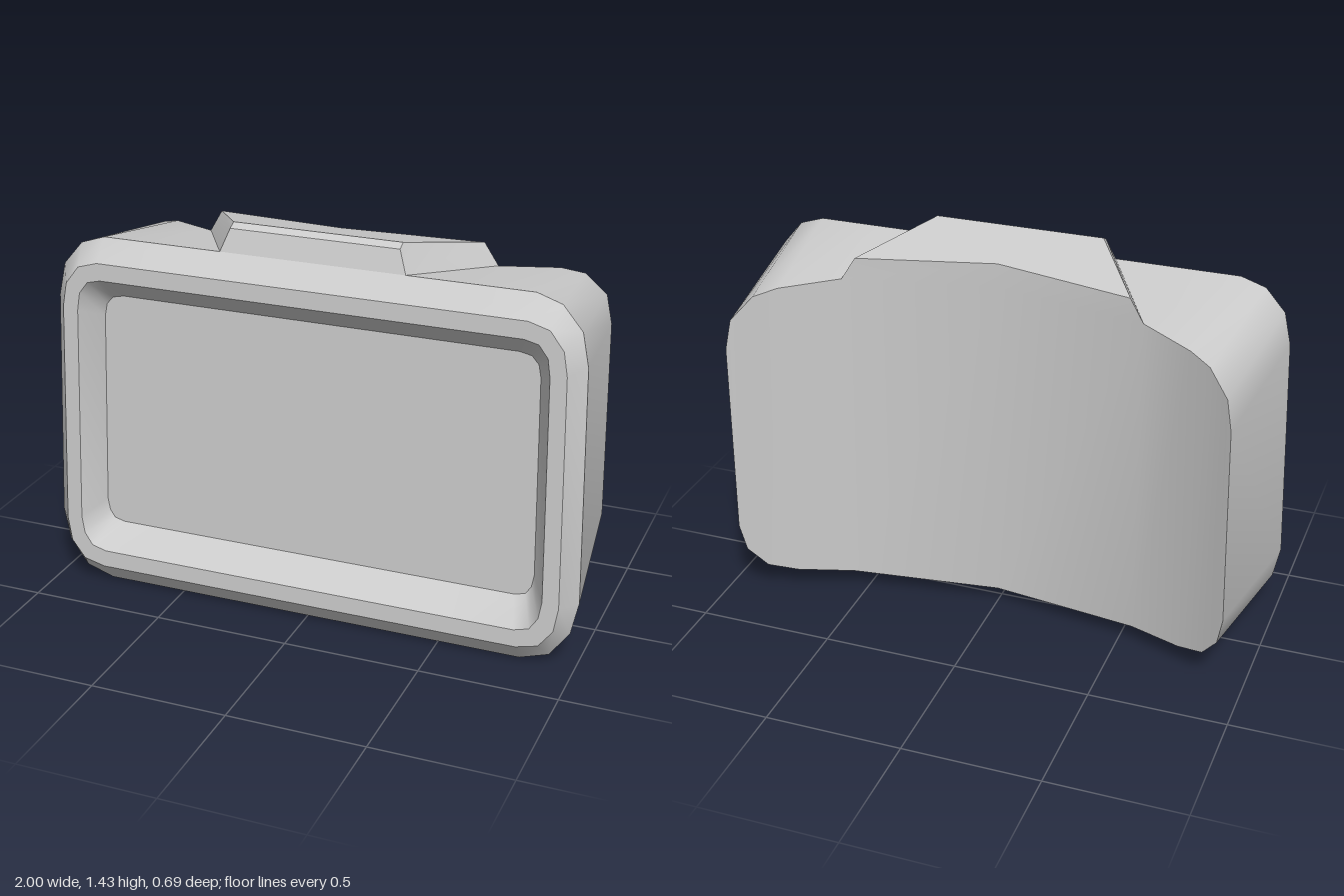
import * as THREE from 'three';
import { toCreasedNormals } from 'three/addons/utils/BufferGeometryUtils.js';

const material = new THREE.MeshStandardMaterial({ color: 0xcccccc });
const CREASE = 0.66;

// Collects convex polygons, fanned into triangles.
function polygonMesh(name, polygons) {
  const positions = [];
  for (const p of polygons) {
    for (let i = 1; i < p.length - 1; i++) positions.push(...p[0], ...p[i], ...p[i + 1]);
  }
  const geometry = new THREE.BufferGeometry();
  geometry.setAttribute('position', new THREE.Float32BufferAttribute(positions, 3));
  const mesh = new THREE.Mesh(toCreasedNormals(geometry, CREASE), material);
  mesh.name = name;
  return mesh;
}

const mirrorPoint = ([x, y, z]) => [-x, y, z];

// Adds the left-hand copies of right-hand polygons, with the winding reversed.
const bothSides = (polygons) => [
  ...polygons,
  ...polygons.map((p) => p.map(mirrorPoint).reverse()),
];

// Full loop from its right half, which runs from bottom centre to top centre.
const fullLoop = (half) => [...half, ...half.slice(1, -1).reverse().map(mirrorPoint)];

// Right half of a loop on a plane that leans backwards: z = z0 - lean * y.
function leaningHalf(corners, z0, lean) {
  const bottom = corners[0][1];
  const top = corners[corners.length - 1][1];
  return [[0, bottom], [0.55, bottom], ...corners, [0.55, top], [0, top]]
    .map(([x, y]) => [x, y, z0 - lean * y]);
}

// Quads joining two half loops, on both sides.
function strip(halfA, halfB) {
  const a = fullLoop(halfA);
  const b = fullLoop(halfB);
  return a.map((p, i) => {
    const j = (i + 1) % a.length;
    return [p, a[j], b[j], b[i]];
  });
}

// Closes a loop with upright bands, so a curved face stays curved.
function cap(half, facesBack) {
  const bands = [];
  const last = half.length - 1;
  for (let i = 0; i < last / 2 - 0.5; i++) {
    const band = [half[i], half[i + 1], half[last - 1 - i], half[last - i]];
    bands.push(facesBack ? band.reverse() : band);
  }
  return bothSides(bands);
}

export function createModel() {
  const group = new THREE.Group();
  group.name = 'housing';

  // Concave back: shallow V in the middle, steeper wings outside.
  const rearBaseMiddle = [0, 1.292, -0.045];
  const rearBase = [0.55, 1.278, -0.136];
  const back = [
    [0, 0.053, -0.045], [0.55, 0.066, -0.136],
    [0.745, 0.08, -0.22], [0.845, 0.11, -0.27], [0.905, 0.195, -0.315], [0.925, 0.3, -0.33],
    [0.913, 1.04, -0.346], [0.893, 1.15, -0.336], [0.82, 1.235, -0.295], [0.743, 1.26, -0.25],
    rearBase, rearBaseMiddle,
  ];

  // Front loops lean slightly backwards.
  const outer = leaningHalf([
    [0.8, 0], [0.905, 0.034], [0.975, 0.13], [1.0, 0.25],
    [0.977, 1.1], [0.952, 1.22], [0.88, 1.305], [0.79, 1.335],
  ], 0.284, 0.037);
  const rimOuter = leaningHalf([
    [0.8, 0.077], [0.88, 0.097], [0.93, 0.162], [0.945, 0.252],
    [0.925, 1.087], [0.91, 1.172], [0.86, 1.237], [0.785, 1.259],
  ], 0.35, 0.034);
  const rimInner = leaningHalf([
    [0.79, 0.141], [0.845, 0.156], [0.875, 0.201], [0.886, 0.266],
    [0.868, 1.076], [0.858, 1.141], [0.825, 1.184], [0.775, 1.196],
  ], 0.35, 0.034);
  const recessFloor = leaningHalf([
    [0.76, 0.222], [0.8, 0.232], [0.82, 0.262], [0.828, 0.306],
    [0.812, 1.031], [0.803, 1.076], [0.778, 1.104], [0.735, 1.113],
  ], 0.25, 0.034);

  // Raised wedge on the roof, flush with the back.
  const base = [0.34, 1.335, 0.235];
  const lip = [0.31, 1.415, 0.21];
  const crest = [0.31, 1.43, 0.18];
  const rearTop = [0.5, 1.36, -0.128];
  const rearTopMiddle = [0, 1.378, -0.045];
  const middle = ([, y, z]) => [0, y, z];

  // The back wall runs on unbroken up to the wedge's rear edge.
  group.add(polygonMesh('body', [
    ...cap(back, true),
    ...bothSides([[rearBase, rearBaseMiddle, rearTopMiddle, rearTop]]),
    ...strip(back, outer),
    ...strip(outer, rimOuter),
    ...strip(rimOuter, rimInner),
    ...strip(rimInner, recessFloor),
    ...cap(recessFloor, false),
  ]));

  group.add(polygonMesh('topWedge', bothSides([
    [middle(base), base, lip, middle(lip)],
    [middle(lip), lip, crest, middle(crest)],
    [middle(crest), crest, rearTop, rearTopMiddle],
    [base, rearBase, rearTop, crest, lip],
  ])));

  return group;
}
